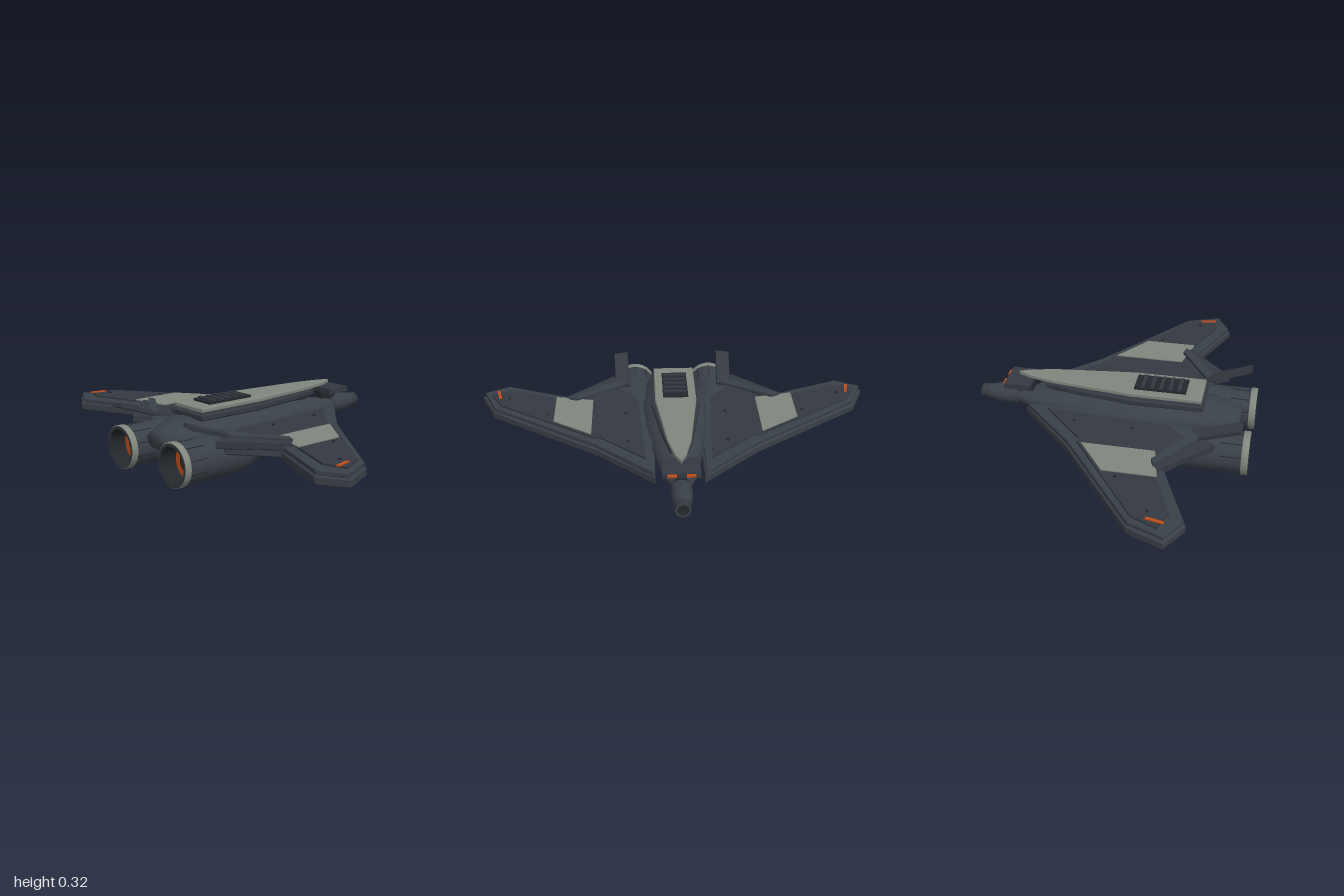
import * as THREE from 'three';
import { mergeVertices } from 'three/addons/utils/BufferGeometryUtils.js';

const paint = (name, color) => {
  const m = new THREE.MeshStandardMaterial({ color });
  m.name = name;
  return m;
};

export function createModel() {
  const slate = paint('slate hull', 0x3a4048);
  const panel = paint('dark panel', 0x343941);
  const light = paint('pale grey', 0x7f877e);
  const black = paint('charcoal', 0x23272c);
  const orange = paint('orange', 0xc24e1a);
  const model = new THREE.Group();

  const add = (name, geometry, material, parent = model) => {
    const mesh = new THREE.Mesh(geometry, material);
    mesh.name = name;
    parent.add(mesh);
    return mesh;
  };
  const box = (name, size, pos, material, parent) => {
    const mesh = add(name, new THREE.BoxGeometry(...size), material, parent);
    mesh.position.set(...pos);
    return mesh;
  };

  // Flat slab from an outline of [x, z] points between two heights
  const slab = (points, y0, y1, side = 1, bevel = 0) => {
    const shape = new THREE.Shape(points.map(([x, z]) => new THREE.Vector2(x, z * side)));
    const g = new THREE.ExtrudeGeometry(shape, {
      depth: y1 - y0 - 2 * bevel, bevelEnabled: bevel > 0, bevelSize: bevel,
      bevelThickness: bevel, bevelOffset: -bevel, bevelSegments: 1,
    });
    return g.rotateX(Math.PI / 2).translate(0, y1 - bevel, 0);
  };
  const mirrored = half => [...half, ...half.filter(p => p[1] > 0).reverse().map(([x, z]) => [x, -z])];

  // Body of elliptical sections along x: [x, centre y, half height, half width]
  const loft = (stations, n = 36) => {
    const pos = [], index = [];
    stations.forEach(([x, cy, ry, rz], s) => {
      for (let i = 0; i < n; i++) {
        const a = (i / n) * Math.PI * 2;
        pos.push(x, cy + Math.cos(a) * ry, Math.sin(a) * rz);
        if (s === stations.length - 1) continue;
        const p = s * n + i, q = s * n + ((i + 1) % n);
        index.push(p, p + n, q, q, p + n, q + n);
      }
    });
    const g = new THREE.BufferGeometry();
    g.setAttribute('position', new THREE.Float32BufferAttribute(pos, 3));
    g.setIndex(index);
    // Make the winding face outward
    const k = new THREE.Vector3().fromArray(pos, n * 3);
    const e1 = new THREE.Vector3().fromArray(pos, n * 6).sub(k);
    const e2 = new THREE.Vector3().fromArray(pos, n * 3 + 3).sub(k);
    if (e1.cross(e2).y < 0) {
      for (let i = 0; i < index.length; i += 3) [index[i], index[i + 1]] = [index[i + 1], index[i]];
      g.setIndex(index);
    }
    const merged = mergeVertices(g);
    merged.computeVertexNormals();
    return merged;
  };
  const lathe = (points, n = 36) => new THREE.LatheGeometry(
    points.map(([x, r]) => new THREE.Vector2(r, x)), n).rotateZ(-Math.PI / 2);

  // Fuselage and nose
  add('fuselage', loft([
    [-0.62, 0.165, 0, 0], [-0.619, 0.165, 0.04, 0.07], [-0.57, 0.165, 0.06, 0.1],
    [-0.49, 0.165, 0.088, 0.14], [-0.22, 0.165, 0.092, 0.168], [0, 0.165, 0.088, 0.155],
    [0.14, 0.167, 0.077, 0.13], [0.3, 0.168, 0.061, 0.1], [0.42, 0.167, 0.045, 0.075], [0.5, 0.166, 0.036, 0.04],
  ]), slate);
  const nose = new THREE.Group();
  nose.name = 'nose';
  nose.position.y = 0.167;
  model.add(nose);
  add('noseCollar', lathe([[0.48, 0], [0.485, 0.046], [0.51, 0.049], [0.58, 0.049], [0.64, 0.038]], 24), slate, nose);
  add('noseTip', lathe([[0.64, 0.038], [0.68, 0.036]], 24), panel, nose);
  add('noseLip', lathe([[0.68, 0.036], [0.68, 0.026]], 24), slate, nose);
  add('noseBore', lathe([[0.68, 0.026], [0.67, 0.024], [0.67, 0]], 24), black, nose);

  // Spine plates with the vent grille
  add('spineBase', slab(mirrored([[-0.445, 0.115], [-0.1, 0.12], [0.2, 0.075], [0.335, 0.045]]), 0.245, 0.275, 1, 0.006), panel);
  add('spineCore', slab(mirrored([[-0.42, 0.085], [-0.1, 0.085], [0.3, 0.03]]), 0.23, 0.285), black);
  add('spinePlate', slab(mirrored([[-0.435, 0.102], [-0.09, 0.102], [0.3, 0.056], [0.43, 0.026], [0.485, 0]]), 0.28, 0.302, 1, 0.004), light);
  box('vent', [0.25, 0.012, 0.125], [-0.23, 0.307, 0], black);
  for (let i = 0; i < 5; i++) box('ventSlat', [0.016, 0.012, 0.115], [-0.322 + i * 0.044, 0.314, 0], panel);

  // Floating plate ahead of the spine
  box('nosePlate', [0.13, 0.026, 0.174], [0.475, 0.256, 0], panel);
  box('nosePlateMount', [0.1, 0.05, 0.05], [0.46, 0.222, 0], black);
  for (const s of [1, -1]) box('noseLight', [0.012, 0.012, 0.042], [0.545, 0.258, s * 0.043], orange);

  const wingOutline = [[0.42, 0.115], [0.16, 0.39], [-0.23, 0.925], [-0.4, 0.998], [-0.475, 0.87],
    [-0.34, 0.545], [-0.31, 0.5], [-0.46, 0.3], [-0.42, 0.1]];
  const panelOutline = [[0.3, 0.155], [0.1, 0.37], [0.1, 0.4], [-0.245, 0.89], [-0.365, 0.945],
    [-0.4, 0.84], [-0.29, 0.56], [-0.27, 0.48], [-0.4, 0.29], [-0.3, 0.19]];
  const edgeOutline = [[0.41, 0.122], [0.15, 0.39], [-0.235, 0.918], [-0.4, 0.985], [-0.465, 0.865],
    [-0.335, 0.55], [-0.31, 0.5], [-0.44, 0.3], [-0.4, 0.12]];

  for (const s of [1, -1]) {
    // Layered wing
    const wing = new THREE.Group();
    wing.name = s > 0 ? 'leftWing' : 'rightWing';
    model.add(wing);
    add('wingSlab', slab(wingOutline, 0.132, 0.172, s, 0.006), slate, wing);
    add('wingDeck', slab(edgeOutline, 0.17, 0.194, s, 0.004), slate, wing);
    add('wingPanel', slab(panelOutline, 0.192, 0.203, s), panel, wing);
    add('wingPatch', slab([[-0.27, 0.417], [0.075, 0.417], [-0.06, 0.607], [-0.31, 0.607]], 0.202, 0.208, s), light, wing);
    box('tipMark', [0.08, 0.006, 0.014], [-0.35, 0.206, s * 0.905], orange, wing).rotation.y = s * 0.22;
    for (const [x, z] of [[-0.13, 0.64], [-0.31, 0.85], [0.15, 0.24], [-0.13, 0.25]]) {
      box('rivet', [0.012, 0.006, 0.012], [x, 0.206, s * z], black, wing);
    }

    // Slanted trailing flap and raised fin
    add('flap', slab([[-0.53, 0.315], [-0.46, 0.27], [-0.265, 0.5], [-0.3, 0.56]], 0.175, 0.212, s, 0.004), panel, wing);
    add('flapRidge', slab([[-0.46, 0.285], [-0.42, 0.25], [-0.265, 0.5], [-0.28, 0.54]], 0.205, 0.225, s, 0.003), slate, wing);
    box('fin', [0.24, 0.018, 0.07], [-0.53, 0.248, s * 0.27], panel, wing).rotation.set(s * 0.12, 0, -0.33);

    // Engine pod with a hollow nozzle
    const engine = new THREE.Group();
    engine.name = s > 0 ? 'leftEngine' : 'rightEngine';
    engine.position.set(0, 0.104, s * 0.2);
    model.add(engine);
    add('enginePod', lathe([[-0.65, 0.1], [-0.6, 0.1], [-0.33, 0.1], [-0.28, 0.087], [-0.22, 0.066], [-0.185, 0.04], [-0.175, 0]]), slate, engine);
    add('nozzleRing', lathe([[-0.683, 0.1], [-0.68, 0.104], [-0.652, 0.104], [-0.65, 0.1]]), light, engine);
    add('nozzleLip', lathe([[-0.683, 0.086], [-0.683, 0.1]]), panel, engine);
    add('nozzleWall', lathe([[-0.6, 0.08], [-0.683, 0.086]]), black, engine);
    add('nozzleGlow', lathe([[-0.6, 0.05], [-0.6, 0.08]]), orange, engine);
    add('nozzleCore', lathe([[-0.63, 0], [-0.6, 0.05]]), black, engine);
    for (let i = 0; i < 10; i++) {
      const a = (i / 10) * Math.PI * 2;
      box('podSeam', [0.1, 0.003, 0.004], [-0.6, Math.cos(a) * 0.1, Math.sin(a) * 0.1], black, engine).rotation.x = a;
    }
  }
  return model;
}
